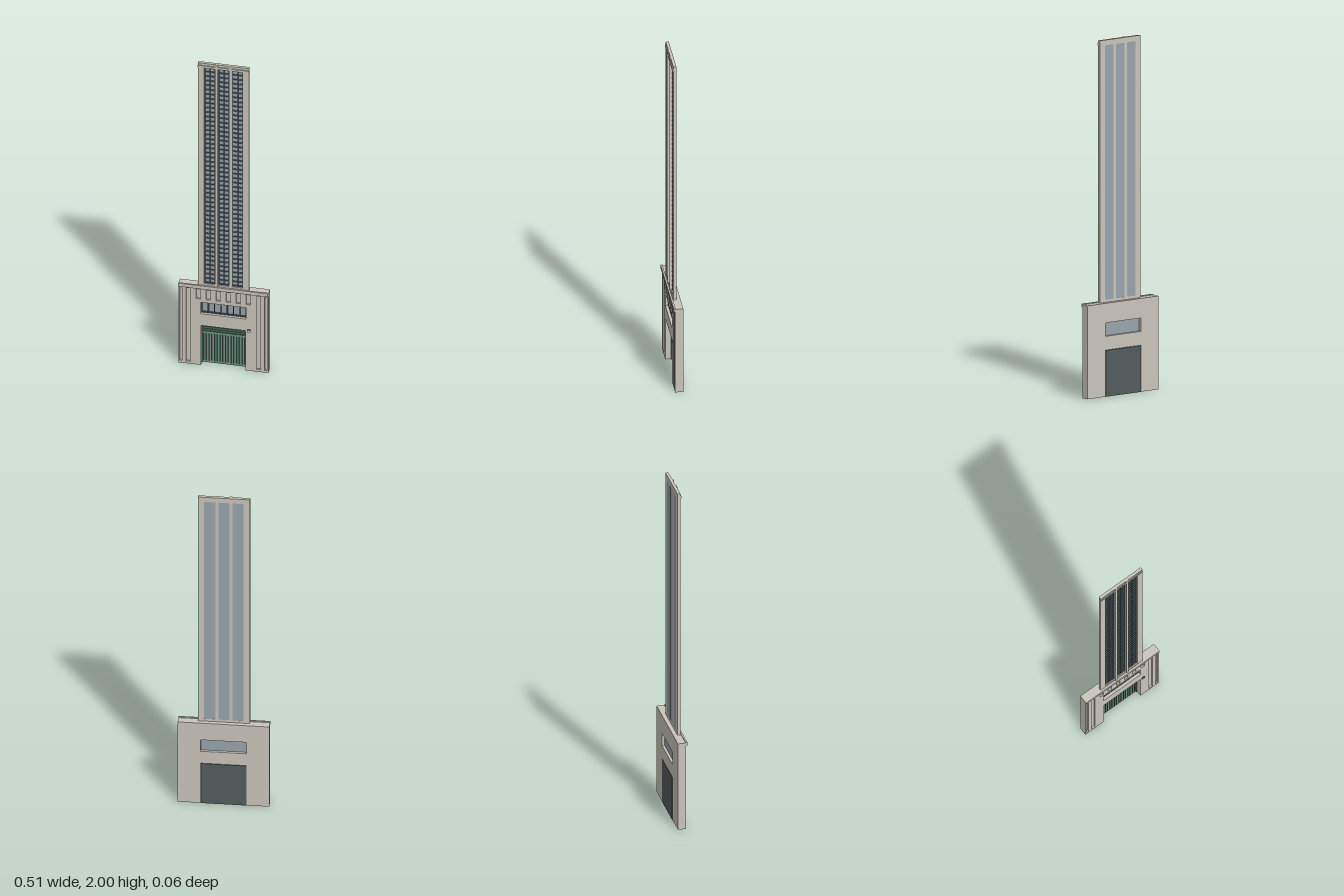
import * as THREE from 'three';

const mat = (name, color) => Object.assign(new THREE.MeshStandardMaterial({ color }), { name });

export function createModel() {
  const stone = mat('stone', 0xcac5bb);
  const glass = mat('glass', 0x98a4ac);
  const frame = mat('frame', 0x4f5c62);
  const green = mat('doorGreen', 0x67917f);
  const paleGreen = mat('doorPanel', 0x81948d);
  const darkGreen = mat('doorRib', 0x47695c);
  const backing = mat('doorBacking', 0x555c5f);

  const model = new THREE.Group();
  const group = (name) => {
    const g = new THREE.Group();
    g.name = name;
    model.add(g);
    return g;
  };
  // box given by its limits on each axis
  const box = (parent, name, m, x0, x1, y0, y1, z0, z1) => {
    const mesh = new THREE.Mesh(new THREE.BoxGeometry(x1 - x0, y1 - y0, z1 - z0), m);
    mesh.position.set((x0 + x1) / 2, (y0 + y1) / 2, (z0 + z1) / 2);
    mesh.name = name;
    parent.add(mesh);
  };
  const rect = (x0, x1, y0, y1) => new THREE.Path([
    new THREE.Vector2(x0, y0), new THREE.Vector2(x0, y1),
    new THREE.Vector2(x1, y1), new THREE.Vector2(x1, y0)]);
  // flat wall with rectangular openings
  const wall = (parent, name, outline, holes, z0, z1) => {
    const shape = new THREE.Shape(outline.map(([x, y]) => new THREE.Vector2(x, y)));
    shape.holes = holes.map((h) => rect(...h));
    const geo = new THREE.ExtrudeGeometry(shape, { depth: z1 - z0, bevelEnabled: false });
    const mesh = new THREE.Mesh(geo, stone);
    mesh.position.z = z0;
    mesh.name = name;
    parent.add(mesh);
  };

  // base block: a plain back layer and a front layer cut by grooves
  const base = group('base');
  const W = 0.255, H = 0.525, D = 0.127, DH = 0.262;
  const outline = [[-W, 0], [-D, 0], [-D, DH], [D, DH], [D, 0], [W, 0], [W, H], [-W, H]];
  const opening = [-0.128, 0.128, 0.34, 0.415];
  const grooves = [];
  for (const s of [-1, 1]) {
    grooves.push([s * 0.199 - 0.012, s * 0.199 + 0.012, 0.015, 0.5]);
    grooves.push([s * 0.24 - 0.007, s * 0.24 + 0.007, 0.015, 0.5]);
    for (const x of [0.028, 0.085, 0.142]) {
      grooves.push([s * x - 0.012, s * x + 0.012, 0.437, 0.5]);
    }
  }
  wall(base, 'baseBackWall', outline, [opening], -0.027, 0.009);
  wall(base, 'baseFluting', outline, [opening, ...grooves], 0.009, 0.019);
  box(base, 'cornice', stone, -W, W, 0.508, 0.53, 0.017, 0.027);
  box(base, 'wallPlaque', frame, 0.135, 0.155, 0.257, 0.273, 0.019, 0.025);
  box(base, 'plaquePanel', stone, 0.138, 0.152, 0.26, 0.27, 0.025, 0.026);

  // wide window above the door
  const wide = group('wideWindow');
  box(wide, 'wideGlass', glass, -0.128, 0.128, 0.34, 0.415, -0.012, -0.006);
  for (const y of [0.34, 0.41]) box(wide, 'windowRail', frame, -0.128, 0.128, y, y + 0.005, -0.006, 0.003);
  for (let i = 0; i <= 7; i++) {
    const x = -0.1255 + i * 0.251 / 7;
    box(wide, 'windowMullion', frame, x - 0.0025, x + 0.0025, 0.34, 0.415, -0.006, 0.003);
  }

  // entrance with louvres above ribbed leaves
  const door = group('door');
  box(door, 'doorBack', backing, -0.125, 0.125, 0, 0.26, -0.0285, -0.022);
  for (let i = 0; i < 8; i++) {
    const x = -0.125 + i * 0.03125;
    box(door, 'doorLeaf', i % 3 === 1 ? paleGreen : green, x, x + 0.03125, 0, 0.2, -0.022, -0.017);
    for (const k of [0.003, 0.017]) {
      box(door, 'doorRib', darkGreen, x + k, x + k + 0.004, 0.015, 0.19, -0.017, -0.012);
    }
  }
  box(door, 'transom', green, -0.125, 0.125, 0.2, 0.26, -0.022, -0.016);
  for (let i = 0; i < 4; i++) {
    const y = 0.207 + i * 0.014;
    box(door, 'louvre', darkGreen, -0.125, 0.125, y, y + 0.005, -0.016, -0.01);
  }
  for (const s of [-1, 1]) box(door, 'doorJamb', darkGreen, s * 0.1245 - 0.0025, s * 0.1245 + 0.0025, 0, 0.26, -0.022, -0.01);

  // tower slab with three tall window strips
  const tower = group('tower');
  const strips = [[-0.11, -0.048], [-0.03, 0.03], [0.048, 0.11]];
  const y0 = 0.54, y1 = 1.97, T = 0.145;
  wall(tower, 'towerWall', [[-T, 0.52], [T, 0.52], [T, 2], [-T, 2]],
    strips.map(([a, b]) => [a, b, y0, y1]), -0.003, 0.014);
  box(tower, 'topBand', stone, -T, T, 1.972, 1.986, 0.014, 0.019);
  for (const s of [-1, 1]) {
    box(tower, 'pilaster', stone, s * 0.039 - 0.007, s * 0.039 + 0.007, 0.525, 2, 0.014, 0.0195);
  }

  // glazing bars
  const rows = 48, step = (y1 - y0) / rows;
  for (const [a, b] of strips) {
    const strip = group('windowStrip');
    box(strip, 'stripGlass', glass, a, b, y0, y1, -0.0028, 0.001);
    for (const x of [a + 0.002, (a + b) / 2, b - 0.002]) {
      box(strip, 'mullion', frame, x - 0.002, x + 0.002, y0, y1, 0.001, 0.008);
    }
    for (let i = 0; i <= rows; i++) {
      const y = Math.min(Math.max(y0 + i * step, y0 + 0.003), y1 - 0.003);
      box(strip, 'floorBar', frame, a, b, y - 0.003, y + 0.003, 0.001, 0.0075);
    }
  }
  return model;
}
